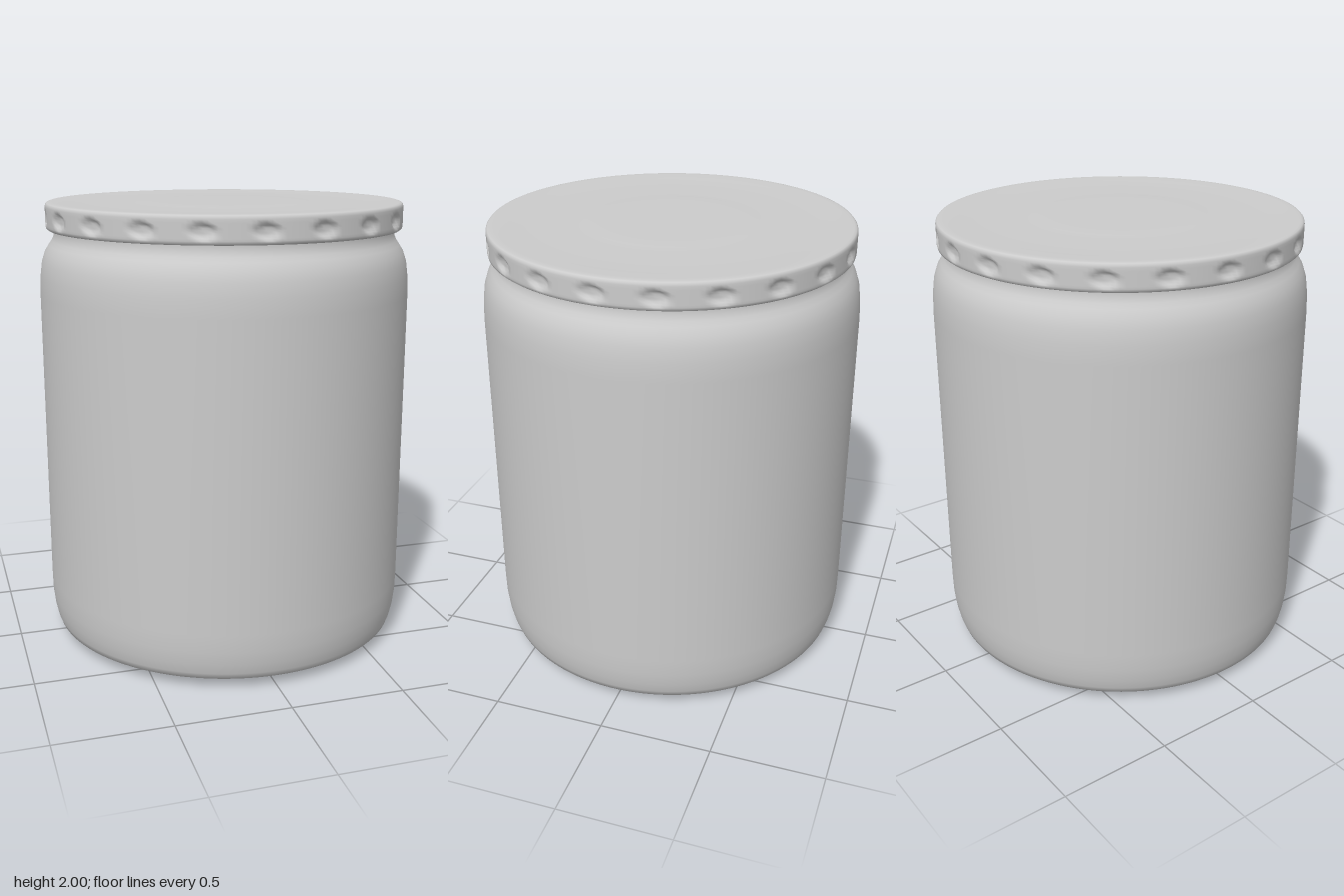
import * as THREE from 'three';
import { mergeVertices } from 'three/addons/utils/BufferGeometryUtils.js';

const material = new THREE.MeshStandardMaterial({ color: 0xcccccc, side: THREE.DoubleSide });

// Smooth turned part; shape(p, angle, radius) may move each vertex.
function turned(name, profile, segments, shape) {
  const points = profile.map(([r, y]) => new THREE.Vector2(r, y));
  let geometry = new THREE.LatheGeometry(points, segments);
  geometry.deleteAttribute('normal');
  geometry.deleteAttribute('uv');
  geometry = mergeVertices(geometry, 1e-5);
  const pos = geometry.attributes.position;
  const p = new THREE.Vector3();
  for (let i = 0; i < pos.count; i++) {
    p.fromBufferAttribute(pos, i);
    shape(p, Math.atan2(p.x, p.z), Math.hypot(p.x, p.z));
    pos.setXYZ(i, p.x, p.y, p.z);
  }
  geometry.computeVertexNormals();
  const mesh = new THREE.Mesh(geometry, material);
  mesh.name = name;
  return mesh;
}

export function createModel() {
  const group = new THREE.Group();
  group.name = 'jar';

  // Glass body: gently domed base, straight wall, rounded shoulder and neck
  const bodyProfile = [
    [0, 0], [0.2, 0.004], [0.4, 0.01], [0.6, 0.02], [0.7, 0.029], [0.75, 0.034],
    [0.785, 0.04], [0.805, 0.048], [0.815, 0.075], [0.825, 0.12], [0.832, 0.18],
    [0.834, 0.26], [0.834, 0.9], [0.834, 1.6], [0.83, 1.68], [0.822, 1.74],
    [0.807, 1.785], [0.788, 1.815], [0.774, 1.835], [0.766, 1.855], [0.764, 1.875], [0.764, 1.91],
  ];
  const ridges = 48;
  group.add(turned('body', bodyProfile, ridges * 4, (p, angle, r) => {
    // Fine radial ridges around the edge of the base
    if (p.y < 0.045 && r > 0.65) p.y += 0.005 * (1 - Math.cos(angle * ridges));
  }));

  // Lid: lightly stepped top, rounded rim and rolled lower edge
  const lidProfile = [
    [0.75, 1.89], [0.775, 1.882], [0.79, 1.882], [0.798, 1.888], [0.8, 1.898],
    [0.8, 1.908], [0.8, 1.918], [0.8, 1.928], [0.8, 1.938], [0.8, 1.948],
    [0.8, 1.958], [0.8, 1.968], [0.8, 1.982], [0.798, 1.991], [0.793, 1.997],
    [0.783, 2], [0.76, 2], [0.7, 1.998], [0.64, 1.995], [0.58, 1.994],
    [0.42, 1.994], [0.38, 1.996], [0.33, 1.998], [0.28, 1.998], [0, 1.998],
  ];
  const dents = 20;
  const step = (Math.PI * 2) / dents;
  group.add(turned('lid', lidProfile, dents * 12, (p, angle, r) => {
    // Ring of shallow oval grip dents pressed into the rim
    if (r < 0.79) return;
    const phase = (angle + 0.075) / step;
    const along = (phase - Math.round(phase)) * step * 0.8 / 0.055;
    const up = (p.y - 1.935) / 0.034;
    const depth = 0.016 * Math.min(1, Math.max(0, 1 - along * along - up * up) * 1.8);
    p.x *= 1 - depth / r;
    p.z *= 1 - depth / r;
  }));

  return group;
}
